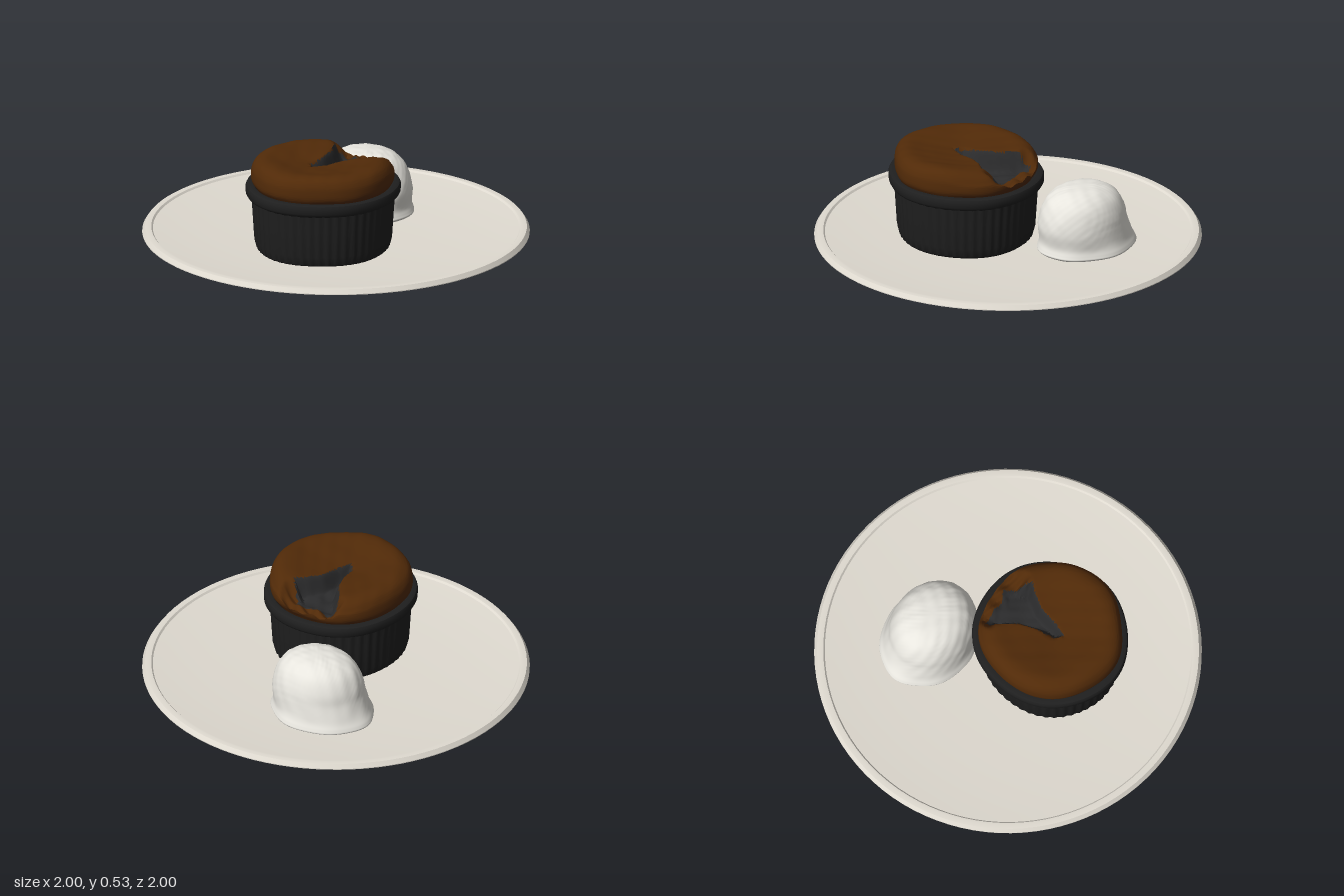
import * as THREE from 'three';
import { toCreasedNormals } from 'three/addons/utils/BufferGeometryUtils.js';

const mat = (name, color) => new THREE.MeshStandardMaterial({ name, color });
const smooth = THREE.MathUtils.smoothstep;
const lerp = THREE.MathUtils.lerp;

// Gentle lumpiness made of sine waves
const lump = (x, y, z) =>
  Math.sin(x * 19 + y * 7) * Math.sin(z * 17 - y * 11) + 0.5 * Math.sin(x * 43 + z * 31) * Math.sin(y * 37 + z * 29);

// Uneven roundness: fuller towards +x -z, flatter on the opposite side
const egg = a => Math.sin(2 * a) ** 2 * Math.cos(a + 0.7);

// Closed surface from rings, listed bottom to top; point(i, angle) gives [x, y, z]
function ringGeometry(rings, segs, point) {
  const pos = [], index = [];
  for (let i = 0; i < rings; i++)
    for (let j = 0; j < segs; j++) pos.push(...point(i, (j / segs) * Math.PI * 2));
  for (let i = 0; i < rings - 1; i++)
    for (let j = 0; j < segs; j++) {
      const a = i * segs + j, b = i * segs + ((j + 1) % segs);
      index.push(a, a + segs, b, b, a + segs, b + segs);
    }
  const g = new THREE.BufferGeometry();
  g.setAttribute('position', new THREE.Float32BufferAttribute(pos, 3));
  g.setIndex(index);
  g.computeVertexNormals();
  return g;
}

// Smooth resampling of a profile of [radius, y] pairs
const profile = (pts, n) =>
  new THREE.SplineCurve(pts.map(p => new THREE.Vector2(...p))).getPoints(n);

// Outline of the scooped-out opening in the cake (x, z)
const OPENING = [[-0.28, 0.11], [-0.24, 0.07], [-0.15, 0.055], [-0.05, 0.02], [0.03, -0.045], [0.1, -0.06], [0.11, 0.03],
  [0.1, 0.08], [0.135, 0.14], [0.07, 0.2], [0.03, 0.25], [-0.03, 0.2], [-0.1, 0.16], [-0.2, 0.14]];

// Distance to the opening's outline, positive inside
function openingDepth(x, z) {
  let inside = false, best = Infinity;
  OPENING.forEach(([ax, az], i) => {
    const [bx, bz] = OPENING[(i + 1) % OPENING.length];
    if ((az > z) !== (bz > z) && x < ((bx - ax) * (z - az)) / (bz - az) + ax) inside = !inside;
    const dx = bx - ax, dz = bz - az;
    const t = THREE.MathUtils.clamp(((x - ax) * dx + (z - az) * dz) / (dx * dx + dz * dz), 0, 1);
    best = Math.min(best, Math.hypot(x - ax - t * dx, z - az - t * dz));
  });
  return inside ? best : -best;
}

function createPlate(material) {
  // dished plate of even thickness: underside, raised lip, then the floor
  const pts = [[0, 0], [0.07, 0.003], [0.15, 0.007], [0.3, 0.009], [0.5, 0.013], [0.7, 0.021], [0.85, 0.034],
    [0.93, 0.045], [0.955, 0.05], [1, 0.052], [1, 0.056], [0.985, 0.078], [0.965, 0.08], [0.953, 0.079],
    [0.945, 0.07], [0.9, 0.066], [0.8, 0.058], [0.65, 0.05], [0.45, 0.043], [0.2, 0.039], [0, 0.038]];
  const g = new THREE.LatheGeometry(pts.map(p => new THREE.Vector2(...p)), 96);
  const plate = new THREE.Mesh(toCreasedNormals(g, 0.4), material);
  plate.name = 'plate';
  return plate;
}

function createRamekin(material) {
  const pts = [[0, 0.04], [0.332, 0.04], [0.348, 0.054], [0.36, 0.1], [0.369, 0.24], [0.375, 0.325],
    [0.388, 0.332], [0.4, 0.338], [0.407, 0.35], [0.408, 0.38], [0.402, 0.392], [0.392, 0.397],
    [0.365, 0.395], [0.355, 0.385], [0.35, 0.345], [0, 0.345]];
  const g = ringGeometry(pts.length, 240, (i, a) => {
    const flute = i >= 2 && i <= 5 ? 0.003 * Math.cos(a * 48) : 0;
    const r = pts[i][0] * (1 + 0.03 * egg(a)) + flute;
    return [r * Math.cos(a) - 0.198, pts[i][1], r * 0.96 * Math.sin(a) + 0.115];
  });
  const ramekin = new THREE.Mesh(toCreasedNormals(g, 0.6), material);
  ramekin.name = 'ramekin';
  return ramekin;
}

function createCake(crust, filling) {
  const pts = profile([[0.33, 0.35], [0.352, 0.385], [0.37, 0.415], [0.372, 0.45], [0.365, 0.485], [0.34, 0.517],
    [0.29, 0.53], [0.2, 0.516], [0.1, 0.502], [0, 0.495]], 64);
  const segs = 144;
  const g = ringGeometry(pts.length, segs, (i, a) => {
    const p = pts[i];
    const wobble = 1 + 0.006 * Math.sin(a * 3 + 1) + 0.004 * Math.sin(a * 7) + 0.06 * egg(a);
    const x = p.x * wobble * Math.cos(a) - 0.206;
    const z = p.x * wobble * 0.985 * Math.sin(a) + 0.12;
    // the top slopes down a little towards the opening's wide end
    const slope = 0.028 * smooth(x, -0.1, 0.15) * smooth(p.y, 0.44, 0.5);
    let y = p.y - slope + 0.003 * lump(x, p.y, z);
    // torn, sunken edge beside the opening
    const torn = smooth(x, 0.03, 0.09) * smooth(z, -0.1, -0.05) * (1 - smooth(z, 0.22, 0.28));
    const tornTop = 0.426 + 0.01 * Math.sin(z * 60) + 0.008 * Math.sin(x * 110 + z * 40);
    y = lerp(y, Math.min(y, tornTop), torn);
    // hollow
    const hollow = smooth(openingDepth(x, z), -0.004, 0.04);
    const floor = 0.406 + 0.008 * lump(x * 1.5, 0, z * 1.5);
    if (p.y > 0.47) y = lerp(y, Math.min(y, floor), hollow);
    return [x, y, z];
  });
  // sort the faces into crust and filling
  const idx = g.index.array, pos = g.attributes.position, sorted = [[], []];
  for (let t = 0; t < idx.length; t += 3) {
    const f = [idx[t], idx[t + 1], idx[t + 2]];
    const mean = get => (get(f[0]) + get(f[1]) + get(f[2])) / 3;
    const x = mean(k => pos.getX(k)), z = mean(k => pos.getZ(k));
    const onTop = t / 6 / segs > 28;
    sorted[onTop && openingDepth(x, z) > 0 ? 1 : 0].push(...f);
  }
  g.setIndex([...sorted[0], ...sorted[1]]);
  g.addGroup(0, sorted[0].length, 0);
  g.addGroup(sorted[0].length, sorted[1].length, 1);
  const cake = new THREE.Mesh(toCreasedNormals(g, 0.8), [crust, filling]);
  cake.name = 'cake';
  return cake;
}

function createIceCream(material) {
  // dome with a thin melted skirt
  const pts = profile([[1.05, 0.042], [1.1, 0.054], [1.08, 0.07], [1.025, 0.105], [0.985, 0.18], [0.92, 0.25],
    [0.77, 0.317], [0.53, 0.358], [0.25, 0.374], [0, 0.377]], 48);
  const g = ringGeometry(pts.length, 96, (i, a) => {
    const p = pts[i];
    const skirt = 1 - smooth(p.y, 0.07, 0.14);
    const r = p.x * (1 + skirt * (0.012 * Math.sin(a * 4 + 1) + 0.01 * Math.sin(a * 7)));
    const lift = smooth(p.y, 0.06, 0.2);
    const x = 0.219 * r * Math.cos(a) + 0.37 - 0.004 * lift;
    const z = 0.257 * r * Math.sin(a) - 0.186 + 0.028 * lift;
    const n = 0.0015 * lump(x * 3.5, p.y * 3.5, z * 3.5) * lift * Math.min(1, p.x * 4);
    return [x + n * Math.cos(a), p.y + n, z + n * Math.sin(a)];
  });
  const scoop = new THREE.Mesh(g, material);
  scoop.name = 'iceCreamScoop';
  return scoop;
}

export function createModel() {
  const model = new THREE.Group();
  model.name = 'dessertPlate';
  model.add(
    createPlate(mat('stoneware', 0xdfdad0)),
    createRamekin(mat('blackCeramic', 0x1f1f1f)),
    createCake(mat('brownCrust', 0x512a08), mat('darkFilling', 0x2b2b2c)),
    createIceCream(mat('vanilla', 0xe8e6df))
  );
  return model;
}
